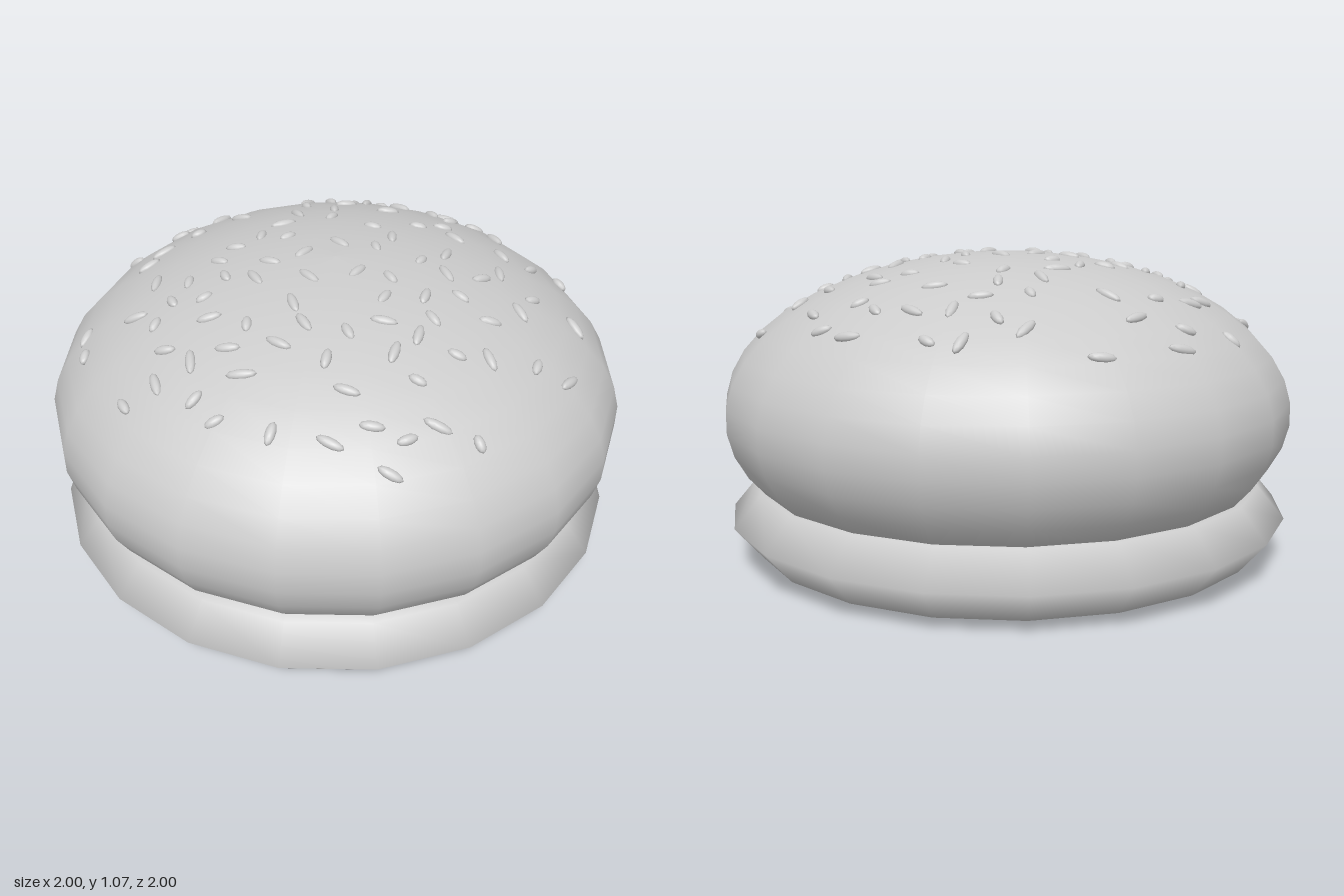
import * as THREE from 'three';

const SIDES = 20;
const DOME = { y: 0.52, radius: 1, height: 0.54 };

function makeRandom(seed) {
  return () => {
    seed = (seed * 1664525 + 1013904223) % 4294967296;
    return seed / 4294967296;
  };
}

function lathe(name, points, material) {
  const mesh = new THREE.Mesh(new THREE.LatheGeometry(points, SIDES), material);
  mesh.name = name;
  return mesh;
}

export function createModel() {
  const model = new THREE.Group();
  model.name = 'burgerBun';
  const material = new THREE.MeshStandardMaterial({ color: 0xcccccc });

  // Bottom bun: thin disc with a rounded, bulging rim
  const bottomProfile = [[0, 0], [0.64, 0], [0.9, 0.04], [0.992, 0.15], [0.9, 0.26], [0.8, 0.265], [0, 0.265]]
    .map(([r, y]) => new THREE.Vector2(r, y));
  const bottomBun = lathe('bottomBun', bottomProfile, material);
  bottomBun.position.set(-0.006, 0, 0.006);
  model.add(bottomBun);

  // Top bun: flattened ball, cut off where it sinks into the bottom bun
  const domeProfile = [new THREE.Vector2(0, 0.25)];
  const rings = 14;
  const start = -0.52;
  for (let i = 0; i <= rings; i++) {
    const a = THREE.MathUtils.lerp(start, Math.PI / 2, i / rings);
    domeProfile.push(new THREE.Vector2(
      i === rings ? 0 : DOME.radius * Math.cos(a),
      DOME.y + DOME.height * Math.sin(a)
    ));
  }
  model.add(lathe('topBun', domeProfile, material));

  // Sesame seeds: scattered over the dome, denser towards the front of the crown
  const seeds = new THREE.Group();
  seeds.name = 'sesameSeeds';
  const seedGeometry = new THREE.SphereGeometry(1, 10, 8);
  const random = makeRandom(7);
  const up = new THREE.Vector3(0, 1, 0);
  const placed = [];
  for (let tries = 0; tries < 6000 && placed.length < 100; tries++) {
    const x = random() * 1.8 - 0.9;
    const z = random() * 1.8 - 0.9;
    const chance = random();
    const r = Math.hypot(x, z);
    const spread = (x - 0.08) ** 2 + (z - 0.14) ** 2;
    if (r > 0.87 || chance > Math.exp(-spread / 0.5)) continue;
    if (placed.some(p => Math.hypot(p.x - x, p.z - z) < 0.095)) continue;

    const rise = Math.sqrt(1 - r * r);
    const normal = new THREE.Vector3(x, rise / DOME.height, z).normalize();
    const seed = new THREE.Mesh(seedGeometry, material);
    seed.name = 'seed';
    seed.position.set(x, DOME.y + DOME.height * rise, z).addScaledVector(normal, -0.003);
    seed.quaternion.setFromUnitVectors(up, normal)
      .multiply(new THREE.Quaternion().setFromAxisAngle(up, random() * Math.PI));
    seed.scale.set(0.03 + random() * 0.02, 0.016, 0.017);
    seeds.add(seed);
    placed.push(seed.position);
  }
  model.add(seeds);

  return model;
}
